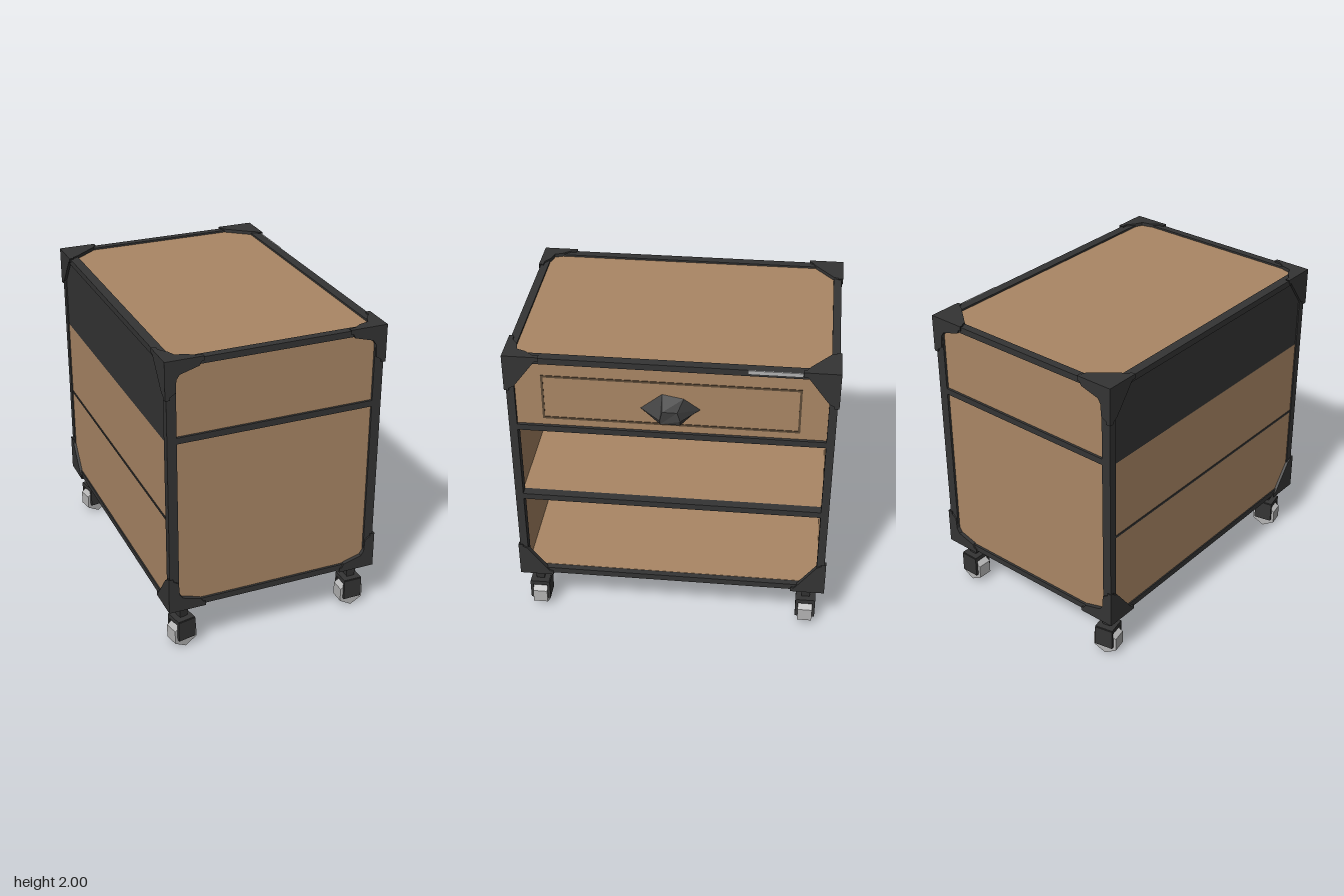
import * as THREE from 'three';

const wood = new THREE.MeshStandardMaterial({ color: 0xaa8765 });
wood.name = 'wood';
const iron = new THREE.MeshStandardMaterial({ color: 0x343434, flatShading: true, side: THREE.DoubleSide });
iron.name = 'dark iron';
const groove = new THREE.MeshStandardMaterial({ color: 0x5c4a37 });
groove.name = 'groove brown';
const steel = new THREE.MeshStandardMaterial({ color: 0xb4b4b4, flatShading: true });
steel.name = 'light steel';

// Outer limits of the cabinet
const X = [-0.74, 0.66], Y = [0.32, 2.0], Z = [-1, 1];

function add(parent, name, geometry, material) {
  const mesh = new THREE.Mesh(geometry, material);
  mesh.name = name;
  parent.add(mesh);
  return mesh;
}

// Box given by its limits on each axis
function box(parent, name, material, [x0, x1], [y0, y1], [z0, z1]) {
  const mesh = add(parent, name, new THREE.BoxGeometry(x1 - x0, y1 - y0, z1 - z0), material);
  mesh.position.set((x0 + x1) / 2, (y0 + y1) / 2, (z0 + z1) / 2);
  return mesh;
}

// Corner plate: outline is measured inward from the corner of a face
function plate(outline, u, v, su, sv, depth) {
  const shape = new THREE.Shape(outline.map(([a, b]) => new THREE.Vector2(u - su * a, v - sv * b)));
  return new THREE.ExtrudeGeometry(shape, { depth, bevelEnabled: false });
}

function buildFrame(group) {
  const e = 0.01;
  const px = [[X[0] + e, -0.67], [0.59, X[1] - e]];
  const py = [[Y[0] + e, 0.37], [1.95, Y[1] - e]];
  const pz = [[Z[0] + e, -0.94], [0.94, Z[1] - e]];
  const fx = [X[0] + e, X[1] - e], fy = [Y[0] + e, Y[1] - e], fz = [Z[0] + e, Z[1] - e];
  for (const i of [0, 1]) {
    for (const j of [0, 1]) {
      box(group, 'cornerPost', iron, px[i], fy, pz[j]);
      box(group, 'lengthRail', iron, px[i], py[j], fz);
      box(group, 'widthRail', iron, fx, py[i], pz[j]);
    }
    // Dividers across the end panels
    box(group, 'endDivider', iron, fx, [1.47, 1.51], pz[i]);
  }
  // Rails across the open side
  box(group, 'drawerRail', iron, [0.59, 0.65], [1.47, 1.51], fz);
  box(group, 'shelfRail', iron, [0.59, 0.65], [0.935, 0.975], fz);
  box(group, 'backShelfLine', iron, [-0.726, -0.7], [0.945, 0.96], [-0.94, 0.94]);
}

function buildGussets(group) {
  const d = 0.03;
  const endOutline = [[0, 0], [0.24, 0], [0.21, 0.055], [0.09, 0.09], [0.07, 0.12], [0.065, 0.2], [0, 0.24]];
  const sideOutline = [[0, 0], [0.22, 0], [0.18, 0.05], [0.06, 0.21], [0, 0.24]];
  const topBack = [[0, 0], [0.24, 0], [0.22, 0.06], [0.07, 0.18], [0, 0.22]];
  const topFront = [[0, 0], [0.24, 0], [0.15, 0.065], [0.09, 0.08], [0.07, 0.13], [0, 0.22]];
  for (const i of [0, 1]) for (const j of [0, 1]) for (const k of [0, 1]) {
    const [sx, sy, sz] = [i, j, k].map((n) => n * 2 - 1);
    const end = plate(endOutline, X[i], Y[j], sx, sy, d);
    end.translate(0, 0, k ? Z[1] - d : Z[0]);
    const side = plate(sideOutline, Z[k], Y[j], sz, sy, d);
    side.rotateY(-Math.PI / 2).translate(i ? X[1] : X[0] + d, 0, 0);
    const flat = plate(k ? topFront : topBack, X[i], Z[k], sx, sz, d);
    flat.rotateX(Math.PI / 2).translate(0, j ? Y[1] : Y[0] + d, 0);
    add(group, 'cornerEndPlate', end, iron);
    add(group, 'cornerSidePlate', side, iron);
    add(group, 'cornerFlatPlate', flat, iron);
  }
}

function buildPanels(group) {
  const inX = [-0.69, 0.61], inZ = [-0.96, 0.96];
  box(group, 'topPanel', wood, inX, [1.955, 1.978], inZ);
  box(group, 'bottomPanel', wood, inX, [0.342, 0.372], inZ);
  box(group, 'frontEndPanel', wood, inX, [0.35, 1.97], [0.95, 0.975]);
  box(group, 'rearEndPanel', wood, inX, [0.35, 1.97], [-0.975, -0.95]);
  box(group, 'backPanel', wood, [-0.722, -0.69], [0.35, 1.47], inZ);
  box(group, 'backDrawerPanel', iron, [-0.722, -0.69], [1.47, 1.97], inZ);
  box(group, 'shelf', wood, [-0.69, 0.6], [0.94, 0.972], inZ);
  box(group, 'drawerFloor', iron, [-0.69, 0.6], [1.475, 1.505], inZ);
}

function buildDrawer(group) {
  const face = 0.63;
  box(group, 'drawerFront', wood, [0.6, face], [1.51, 1.955], [-0.945, 0.945]);
  // Inset line around the drawer front
  const depth = [face, face + 0.004];
  for (const y of [1.555, 1.848]) box(group, 'drawerGroove', groove, depth, [y, y + 0.014], [-0.78, 0.78]);
  for (const z of [-0.78, 0.766]) box(group, 'drawerGroove', groove, depth, [1.555, 1.862], [z, z + 0.014]);

  // Cup pull, open underneath: wall loop [z, y] joined to a smaller outer loop
  const wall = [[0.12, 1.64], [0.18, 1.67], [0.05, 1.775], [-0.08, 1.75], [-0.18, 1.68], [-0.13, 1.64]];
  const outer = [[0.05, 1.635], [0.055, 1.66], [0.04, 1.71], [-0.05, 1.71], [-0.07, 1.66], [-0.07, 1.635]];
  const points = [], index = [];
  wall.forEach(([z, y]) => points.push(face, y, z));
  outer.forEach(([z, y]) => points.push(y > 1.7 ? 0.725 : 0.74, y, z));
  for (let i = 0; i < 5; i++) index.push(i, i + 6, i + 1, i + 1, i + 6, i + 7);
  for (let i = 7; i < 11; i++) index.push(6, i + 1, i);
  const cup = new THREE.BufferGeometry();
  cup.setAttribute('position', new THREE.Float32BufferAttribute(points, 3));
  cup.setIndex(index);
  cup.computeVertexNormals();
  add(group, 'drawerHandle', cup, iron);

  // Small metal strip on the upper rail
  box(group, 'metalStrip', steel, [0.65, 0.656], [1.968, 1.99], [-0.776, -0.46]);
}

function buildCaster(x, z, yaw) {
  const caster = new THREE.Group();
  caster.name = 'caster';
  const neck = add(caster, 'casterNeck', new THREE.CylinderGeometry(0.05, 0.036, 0.09, 4, 1).rotateY(Math.PI / 4), iron);
  neck.position.y = 0.255;
  box(caster, 'casterStem', iron, [-0.02, 0.02], [0.19, 0.33], [-0.02, 0.02]);
  box(caster, 'forkCrown', iron, [-0.06, 0.06], [0.175, 0.205], [-0.06, 0.06]);
  for (const s of [-1, 1]) {
    const cheek = box(caster, 'forkCheek', iron, [-0.06, 0.06], [0.065, 0.2], [-0.009, 0.009]);
    cheek.position.z = s * 0.056;
  }
  // Six-sided wheel rolling along x
  const wheel = add(caster, 'wheel', new THREE.CylinderGeometry(0.09, 0.09, 0.094, 6).rotateX(Math.PI / 2), steel);
  wheel.position.y = 0.09;
  caster.position.set(x, 0, z);
  caster.rotation.y = yaw;
  return caster;
}

export function createModel() {
  const model = new THREE.Group();
  model.name = 'rollingCabinet';
  const sections = { frame: buildFrame, cornerPlates: buildGussets, panels: buildPanels, drawer: buildDrawer };
  for (const [name, build] of Object.entries(sections)) {
    const group = new THREE.Group();
    group.name = name;
    build(group);
    model.add(group);
  }
  for (const z of [-0.885, 0.89]) {
    model.add(buildCaster(-0.62, z, 0.2), buildCaster(0.55, z, 0));
  }
  return model;
}
